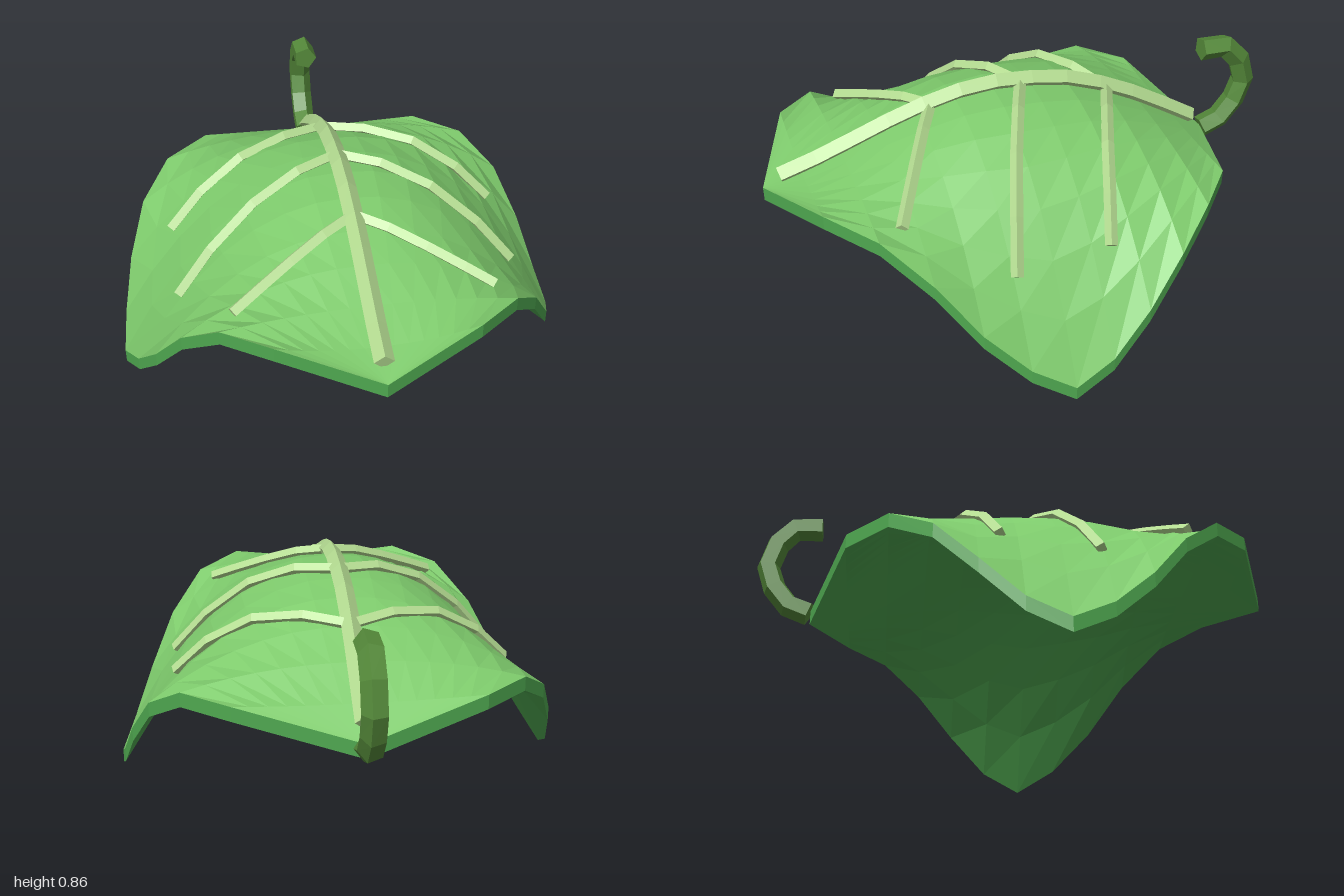
import * as THREE from 'three';

// Leaf rows from stem end to tip: z, half width, spine height, rim height
const ROWS = [
  [-0.78, 0, 0.435, 0.435], [-0.64, 0.445, 0.525, 0.535], [-0.49, 0.615, 0.62, 0.535],
  [-0.34, 0.73, 0.7, 0.44], [-0.19, 0.8, 0.76, 0.28], [-0.04, 0.84, 0.79, 0.13],
  [0.11, 0.857, 0.805, 0.055], [0.26, 0.805, 0.795, 0.14], [0.41, 0.735, 0.76, 0.29],
  [0.55, 0.64, 0.715, 0.48], [0.7, 0.515, 0.66, 0.62], [0.85, 0.35, 0.61, 0.655],
  [0.995, 0, 0.575, 0.575],
];
const COLUMNS = 14;
const THICKNESS = 0.055;

const material = (color) => new THREE.MeshStandardMaterial({ color, flatShading: true });

// Share of the drop from spine to rim at u (0 = spine, 1 = rim)
const drop = (u) => Math.pow(u, 2.2);

function heightAt(x, z) {
  let i = 0;
  while (i < ROWS.length - 2 && ROWS[i + 1][0] < z) i++;
  const k = (z - ROWS[i][0]) / (ROWS[i + 1][0] - ROWS[i][0]);
  const [, w, spine, rim] = ROWS[i].map((v, n) => THREE.MathUtils.lerp(v, ROWS[i + 1][n], k));
  return spine + (rim - spine) * drop(Math.min(1, Math.abs(x) / w));
}

// Flat-faced geometry from polygons with counter-clockwise corners
function facesGeometry(faces) {
  const pos = [];
  for (const f of faces) {
    for (let k = 1; k < f.length - 1; k++) {
      const tri = new THREE.Triangle(f[0], f[k], f[k + 1]);
      if (tri.getArea() < 1e-7) continue;
      for (const p of [tri.a, tri.b, tri.c]) pos.push(p.x, p.y, p.z);
    }
  }
  const geo = new THREE.BufferGeometry();
  geo.setAttribute('position', new THREE.Float32BufferAttribute(pos, 3));
  geo.computeVertexNormals();
  return geo;
}

// Closed tube with few sides along points; side is the sideways axis of its section
function sweep(points, side, radius, sides) {
  const rings = points.map((p, i) => {
    const t = points[Math.min(i + 1, points.length - 1)].clone()
      .sub(points[Math.max(i - 1, 0)]).normalize();
    const n = new THREE.Vector3().crossVectors(t, side).normalize();
    return Array.from({ length: sides }, (_, j) => {
      const a = (j / sides) * Math.PI * 2;
      return p.clone().addScaledVector(side, radius * Math.cos(a))
        .addScaledVector(n, radius * Math.sin(a));
    });
  });
  const faces = [[...rings[0]].reverse(), rings[rings.length - 1]];
  for (let i = 0; i < rings.length - 1; i++) {
    for (let j = 0; j < sides; j++) {
      const k = (j + 1) % sides;
      faces.push([rings[i][j], rings[i][k], rings[i + 1][k], rings[i + 1][j]]);
    }
  }
  return facesGeometry(faces);
}

export function createModel() {
  const group = new THREE.Group();
  const add = (name, geo, mat) => {
    const mesh = new THREE.Mesh(geo, mat);
    mesh.name = name;
    group.add(mesh);
  };
  const topMat = material(0x7ecb6c);
  const underMat = material(0x4fa850);
  const veinMat = material(0xb5dd92);
  const stemMat = material(0x558a3a);

  // Domed leaf blade: top sheet, lowered underside and the rim between them
  const grid = (lower) => ROWS.map(([z, w, spine, rim]) =>
    Array.from({ length: COLUMNS + 1 }, (_, j) => {
      const u = (2 * j) / COLUMNS - 1;
      return new THREE.Vector3(u * w, spine + (rim - spine) * drop(Math.abs(u)) - lower, z);
    }));
  const top = grid(0);
  const bottom = grid(THICKNESS);
  const topFaces = [];
  const underFaces = [];
  for (let i = 0; i < ROWS.length - 1; i++) {
    for (let j = 0; j < COLUMNS; j++) {
      const quad = (g) => [g[i][j], g[i + 1][j], g[i + 1][j + 1], g[i][j + 1]];
      topFaces.push(quad(top));
      underFaces.push(quad(bottom).reverse());
    }
    const wall = (j) => [bottom[i][j], top[i][j], top[i + 1][j], bottom[i + 1][j]];
    underFaces.push(wall(COLUMNS), wall(0).reverse());
  }
  add('leafTop', facesGeometry(topFaces), topMat);
  add('leafUndersideAndRim', facesGeometry(underFaces), underMat);

  // Main vein along the spine
  const spinePoints = Array.from({ length: 13 }, (_, i) => {
    const z = -0.73 + (i / 12) * 1.66;
    return new THREE.Vector3(0, heightAt(0, z) + 0.025, z);
  });
  add('mainVein', sweep(spinePoints, new THREE.Vector3(1, 0, 0), 0.035, 4), veinMat);

  // Three pairs of side veins: [x, z] at start, middle and end
  const veins = {
    Back: [[0.02, -0.345], [0.34, -0.21], [0.63, -0.105]],
    Middle: [[0.02, 0.01], [0.33, 0.14], [0.63, 0.25]],
    Front: [[0.02, 0.365], [0.24, 0.485], [0.46, 0.605]],
  };
  for (const [place, path] of Object.entries(veins)) {
    const curve = new THREE.SplineCurve(path.map(([x, z]) => new THREE.Vector2(x, z)));
    for (const s of [1, -1]) {
      const points = curve.getPoints(4).map((p) =>
        new THREE.Vector3(s * p.x, heightAt(p.x, p.y) + 0.015, p.y));
      const chord = points[4].clone().sub(points[0]);
      const side = new THREE.Vector3(-chord.z, 0, chord.x).normalize();
      add((s > 0 ? 'left' : 'right') + place + 'Vein', sweep(points, side, 0.023, 4), veinMat);
    }
  }

  // Hooked stem
  const stemPath = [[0.425, -0.785], [0.455, -0.865], [0.53, -0.925], [0.62, -0.955],
    [0.72, -0.925], [0.79, -0.86], [0.795, -0.755]].map(([y, z]) => new THREE.Vector3(0, y, z));
  add('stem', sweep(stemPath, new THREE.Vector3(1, 0, 0), 0.047, 5), stemMat);

  return group;
}
